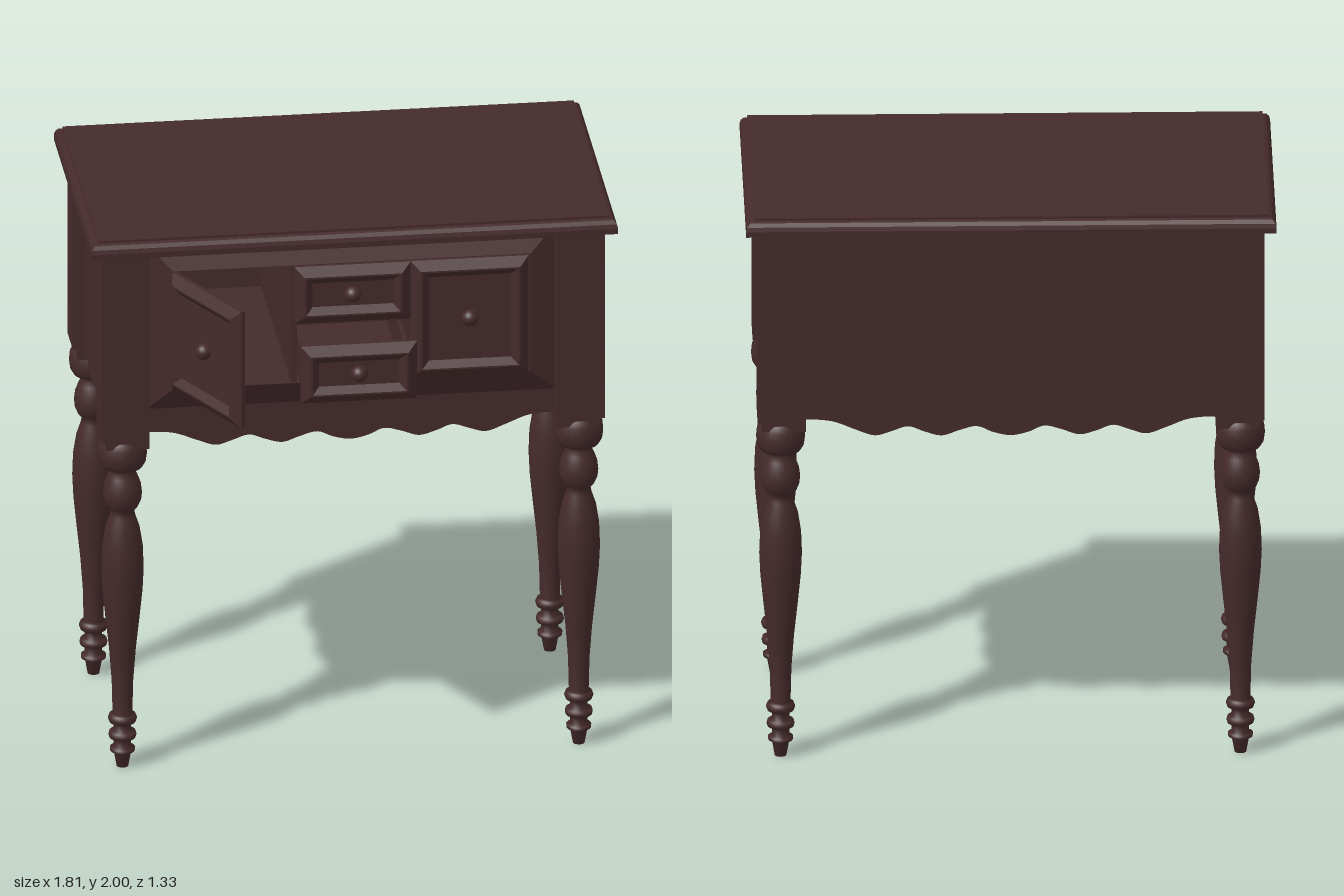
import * as THREE from 'three';

export function createModel() {
  const wood = new THREE.MeshStandardMaterial({ color: 0x452a2b });
  wood.name = 'dark wood';
  const model = new THREE.Group();
  const CZ = -0.146; // middle of the cabinet in z

  function add(parent, name, geo, x = 0, y = 0, z = 0) {
    const m = new THREE.Mesh(geo, wood);
    m.name = name;
    m.position.set(x, y, z);
    parent.add(m);
    return m;
  }
  // box given by its limits
  function box(parent, name, x0, x1, y0, y1, z0, z1) {
    return add(parent, name, new THREE.BoxGeometry(x1 - x0, y1 - y0, z1 - z0),
      (x0 + x1) / 2, (y0 + y1) / 2, (z0 + z1) / 2);
  }
  // rectangular sections [halfWidth, halfHeight, z] joined by mitred flat faces
  function mitred(rings, capped = true) {
    const pos = [];
    const loops = rings.map(([w, h, z]) => [[-w, -h, z], [w, -h, z], [w, h, z], [-w, h, z]]);
    const quad = (a, b, c, d) => pos.push(...a, ...b, ...c, ...a, ...c, ...d);
    for (let i = 0; i + 1 < loops.length; i++)
      for (let k = 0; k < 4; k++) {
        const n = (k + 1) % 4;
        quad(loops[i][k], loops[i][n], loops[i + 1][n], loops[i + 1][k]);
      }
    if (capped) {
      quad(...loops[loops.length - 1]);
      quad(...[...loops[0]].reverse());
    }
    const g = new THREE.BufferGeometry();
    g.setAttribute('position', new THREE.Float32BufferAttribute(pos, 3));
    g.computeVertexNormals();
    return g;
  }
  const lathe = (pts, seg) => new THREE.LatheGeometry(pts.map(p => new THREE.Vector2(...p)), seg);

  // table top with rounded rim
  const top = add(model, 'tableTop', mitred([
    [0.905, 0.515, 1.94], [0.906, 0.516, 1.96], [0.902, 0.512, 1.975],
    [0.892, 0.502, 1.987], [0.88, 0.49, 1.991], [0.88, 0.49, 2.0]]), 0, 0, -0.149);
  top.rotation.x = -Math.PI / 2;

  // turned legs and corner posts
  const legGeo = lathe([
    [0, 0], [0.02, 0], [0.03, 0.055], [0.042, 0.058], [0.043, 0.07], [0.03, 0.076], [0.03, 0.104],
    [0.045, 0.108], [0.048, 0.118], [0.045, 0.13], [0.03, 0.134], [0.03, 0.162], [0.045, 0.166],
    [0.05, 0.18], [0.045, 0.193], [0.034, 0.198], [0.037, 0.32], [0.046, 0.44], [0.059, 0.56],
    [0.069, 0.66], [0.073, 0.74], [0.07, 0.82], [0.059, 0.89], [0.044, 0.935], [0.04, 0.955],
    [0.054, 0.972], [0.064, 0.995], [0.067, 1.022], [0.063, 1.053], [0.052, 1.083], [0.044, 1.1],
    [0.046, 1.115], [0.068, 1.12], [0.08, 1.14], [0.084, 1.17], [0.081, 1.2], [0.07, 1.224],
    [0.06, 1.23], [0, 1.23]], 28);
  for (const sx of [-1, 1])
    for (const sz of [-1, 1]) {
      const corner = new THREE.Group();
      corner.name = 'cornerPostAndLeg';
      model.add(corner);
      add(corner, 'leg', legGeo, sx * 0.785, 0, CZ + sz * 0.395);
      add(corner, 'post', new THREE.BoxGeometry(0.15, 0.7, 0.15), sx * 0.79, 1.59, CZ + sz * 0.401);
      add(corner, 'postInnerStrip', new THREE.BoxGeometry(0.15, 0.735, 0.15),
        sx * 0.775, 1.5725, CZ + sz * 0.386);
    }

  // panels with a scalloped lower edge; wave lists [distance from middle, y]
  function scalloped(wave, topY, depth) {
    const pts = [...wave.slice(1).reverse().map(([x, y]) => [-x, y]), ...wave]
      .map(p => new THREE.Vector2(...p));
    const end = wave[wave.length - 1][0];
    const shape = new THREE.Shape();
    shape.moveTo(end, topY);
    shape.lineTo(-end, topY);
    shape.lineTo(pts[0].x, pts[0].y);
    shape.splineThru(pts.slice(1));
    shape.closePath();
    return new THREE.ExtrudeGeometry(shape, { depth, bevelEnabled: false, curveSegments: 5 });
  }
  const longWave = [[0, 1.178], [0.06, 1.19], [0.115, 1.212], [0.175, 1.198], [0.235, 1.179],
    [0.295, 1.194], [0.35, 1.213], [0.41, 1.195], [0.465, 1.181], [0.53, 1.203],
    [0.6, 1.231], [0.66, 1.24], [0.71, 1.24]];
  const shortWave = [[0, 1.233], [0.06, 1.218], [0.125, 1.203], [0.185, 1.22], [0.24, 1.237], [0.32, 1.24]];
  add(model, 'frontApron', scalloped(longWave, 1.335, 0.05), 0, 0, 0.205);
  add(model, 'backPanel', scalloped(longWave, 1.95, 0.05), 0, 0, -0.58);
  for (const sx of [-1, 1]) {
    const side = add(model, 'sidePanel', scalloped(shortWave, 1.95, 0.05), sx > 0 ? 0.775 : -0.825, 0, CZ);
    side.rotation.y = Math.PI / 2;
  }

  // raised bevelled frame around the drawers and doors
  add(model, 'frontFrame', mitred([
    [0.71, 0.312, 0.252], [0.615, 0.22, 0.295], [0.61, 0.218, 0.295], [0.61, 0.218, 0.23]], false), 0, 1.633, 0);

  // compartment boards
  box(model, 'floorBoard', -0.8, 0.8, 1.305, 1.415, -0.56, 0.24);
  box(model, 'ceilingBoard', -0.8, 0.8, 1.85, 1.87, -0.56, 0.24);
  for (const x of [-0.62, -0.2, 0.2, 0.62])
    box(model, 'divider', x - 0.01, x + 0.01, 1.415, 1.85, -0.56, Math.abs(x) > 0.5 ? 0.25 : 0.29);
  box(model, 'drawerShelf', -0.2, 0.2, 1.627, 1.643, -0.56, 0.29);

  // moulded face with a round knob, used by doors and drawers
  const knobGeo = new THREE.SphereGeometry(0.029, 20, 14);
  function face(parent, name, w, h, x, y, z) {
    const g = new THREE.Group();
    g.name = name;
    g.position.set(x, y, z);
    parent.add(g);
    add(g, 'mouldedFront', mitred([[w, h, 0], [w, h, 0.015], [w - 0.032, h - 0.032, 0.04],
      [w - 0.038, h - 0.038, 0.04], [w - 0.062, h - 0.062, 0.02]]));
    add(g, 'knob', knobGeo, 0, 0, 0.028);
    return g;
  }
  function drawer(name, y, z) {
    const g = face(model, name, 0.2, 0.106, 0, y, z);
    for (const sx of [-1, 1])
      add(g, 'drawerSide', new THREE.BoxGeometry(0.015, 0.13, 0.6), sx * 0.177, -0.02, -0.3);
    add(g, 'drawerBottom', new THREE.BoxGeometry(0.35, 0.012, 0.6), 0, -0.079, -0.3);
    add(g, 'drawerBack', new THREE.BoxGeometry(0.35, 0.13, 0.015), 0, -0.02, -0.5925);
  }
  drawer('upperDrawer', 1.743, 0.287);
  drawer('lowerDrawerOpen', 1.523, 0.462);
  face(model, 'rightHandDoor', 0.203, 0.217, 0.403, 1.633, 0.287);

  // open door swung on its hinge
  const hinge = new THREE.Group();
  hinge.name = 'openDoor';
  hinge.position.set(-0.605, 1.633, 0.289);
  hinge.rotation.y = -THREE.MathUtils.degToRad(62.5);
  model.add(hinge);
  face(hinge, 'doorLeaf', 0.206, 0.217, 0.206, 0, 0);

  return model;
}
